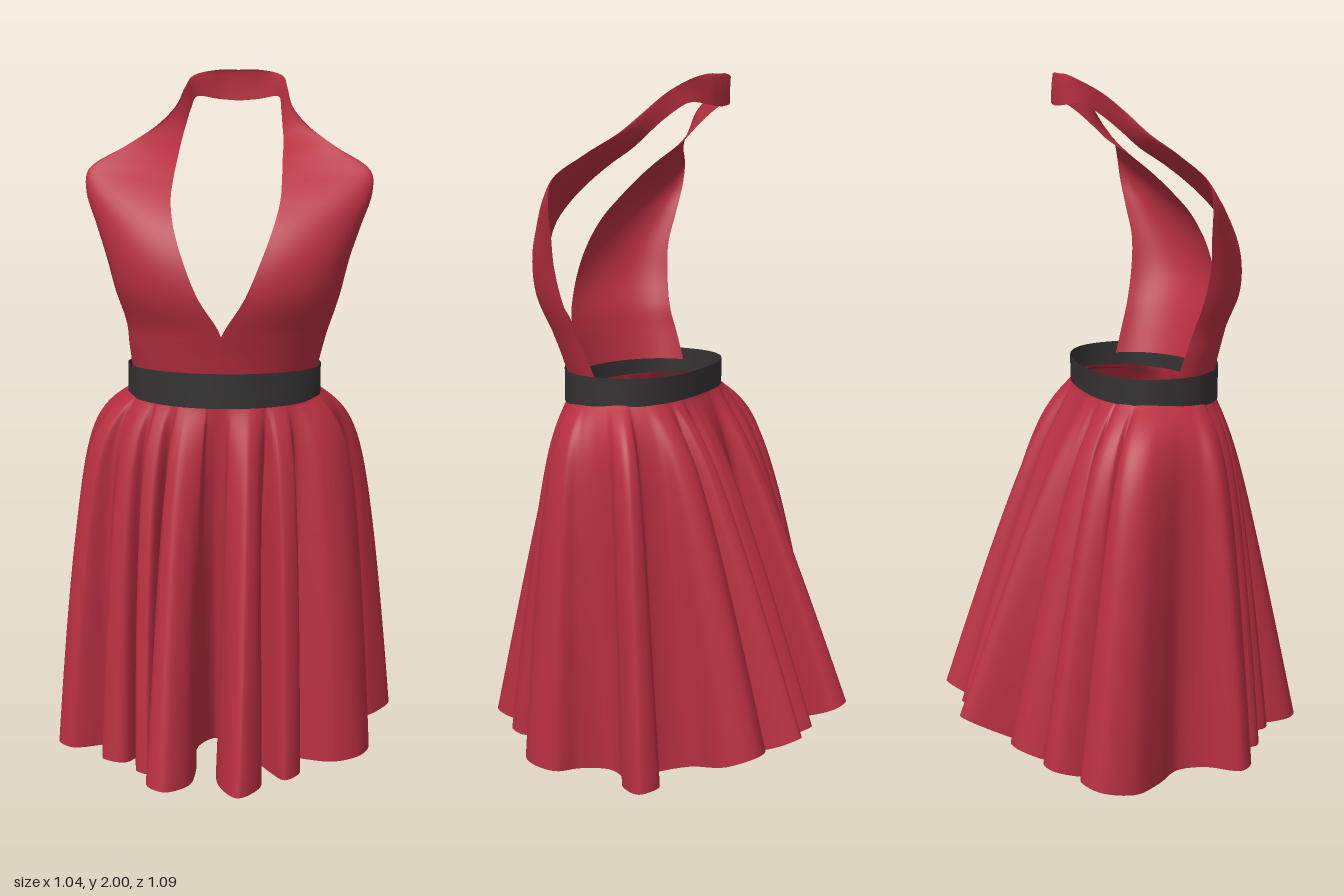
import * as THREE from 'three';

const red = new THREE.MeshStandardMaterial({ color: 0xb82f40, side: THREE.DoubleSide });
red.name = 'crimson cloth';
const black = new THREE.MeshStandardMaterial({ color: 0x343131, side: THREE.DoubleSide });
black.name = 'charcoal band';
const { lerp } = THREE.MathUtils;

// Smooth sheet from fn(u, v) -> [x, y, z]; closed joins u = 1 to u = 0
function sheet(nu, nv, fn, closed) {
  const pos = [], idx = [], cols = closed ? nu : nu + 1, w = nv + 1;
  for (let i = 0; i < cols; i++)
    for (let j = 0; j <= nv; j++) pos.push(...fn(i / nu, j / nv));
  for (let i = 0; i < nu; i++)
    for (let j = 0; j < nv; j++) {
      const a = i * w + j, b = ((i + 1) % cols) * w + j;
      idx.push(a, a + 1, b, b, a + 1, b + 1);
    }
  const g = new THREE.BufferGeometry();
  g.setAttribute('position', new THREE.Float32BufferAttribute(pos, 3));
  g.setIndex(idx);
  g.computeVertexNormals();
  return g;
}

function part(name, geometry, material) {
  const m = new THREE.Mesh(geometry, material);
  m.name = name;
  return m;
}

// Waist outline as x, z: an ellipse, squarer at the back
function waist(angle, grow) {
  const s = Math.sin(angle), c = Math.cos(angle), p = c < 0 ? 0.8 : 1;
  return [
    0.022 + (0.272 + grow) * Math.sign(s) * Math.abs(s) ** p,
    0.065 + (0.197 + grow) * Math.sign(c) * Math.abs(c) ** p,
  ];
}
// Lower edge of the waistband, dipping at the front
const bandBottom = (z) => 1.08 - 0.06 * z;

// Hem outline as x, z pairs: from the front centre round by +x and the back
const HEM = [
  0, 0.07, 0.045, 0.15, 0.03, 0.37, 0.06, 0.48, 0.11, 0.54, 0.165, 0.46, 0.14, 0.32, 0.09, 0.18,
  0.19, 0.36, 0.23, 0.41, 0.27, 0.35, 0.21, 0.23, 0.36, 0.27, 0.44, 0.22, 0.46, 0.12, 0.40, 0.07,
  0.36, 0.0, 0.39, -0.06, 0.47, -0.11, 0.52, -0.19, 0.46, -0.22, 0.35, -0.14, 0.28, -0.22,
  0.32, -0.36, 0.28, -0.44, 0.21, -0.43, 0.21, -0.30, 0.21, -0.48, 0.18, -0.53, 0.13, -0.48,
  0.11, -0.32, 0.09, -0.47, 0.05, -0.51, 0.01, -0.45, -0.04, -0.32, -0.09, -0.34, -0.07, -0.53,
  -0.12, -0.55, -0.17, -0.40, -0.19, -0.29, -0.20, -0.42, -0.26, -0.42, -0.31, -0.33,
  -0.27, -0.25, -0.33, -0.36, -0.39, -0.35, -0.40, -0.25, -0.36, -0.17, -0.43, -0.28,
  -0.51, -0.25, -0.52, -0.15, -0.45, -0.05, -0.38, 0.03, -0.39, 0.11, -0.46, 0.20, -0.41, 0.25,
  -0.30, 0.20, -0.31, 0.31, -0.24, 0.33, -0.19, 0.22, -0.20, 0.38, -0.16, 0.40, -0.12, 0.17,
  -0.16, 0.42, -0.15, 0.49, -0.10, 0.52, -0.04, 0.46, -0.03, 0.36, -0.045, 0.15,
];

// Skirt: puffs out below the waistband, then falls in folds that deepen to the hem
function skirtGeometry() {
  const pts = [], angles = [], full = Math.PI * 2;
  for (let i = 0; i < HEM.length; i += 2) {
    const x = HEM[i], z = HEM[i + 1];
    const lift = 0.5 * Math.min(0, z) ** 2 + 0.05 * Math.abs(x) + 0.03 * Math.max(0, z);
    pts.push(new THREE.Vector3(x, lift, z));
    angles.push((Math.atan2(x, z) + full) % full);
  }
  // Spread the folds in order around the waist
  angles.sort((a, b) => a - b);
  const n = pts.length;
  const spread = angles.map((a, i) => 0.7 * a + 0.3 * full * i / n);
  spread.push(full);
  const hem = new THREE.CatmullRomCurve3(pts, true);
  return sheet(n * 6, 32, (u, v) => {
    const k = Math.min(n - 1, Math.floor(u * n + 1e-6));
    const a = lerp(spread[k], spread[k + 1], u * n - k);
    const [tx, tz] = waist(a, 0);
    const low = hem.getPoint(u);
    const t = v * v * 0.7 + v * 0.3;
    // Sides flare sooner than front and back
    const f = Math.pow(t, 0.7 - 0.48 * Math.sin(a) ** 2) * (1 - Math.exp(-t / 0.05));
    const fold = 0.4 + 0.6 * Math.pow(t, 0.7);
    return [
      lerp(tx, lerp(0.47 * Math.sin(a), low.x, fold), f),
      lerp(bandBottom(tz) + 0.015, low.y, t),
      lerp(tz, lerp(0.4 * Math.cos(a), low.z, fold), f),
    ];
  }, true);
}

// Bodice half: rows of outer edge x, y, z then inner edge x, y, z, up to the nape
const ROWS = [
  [0.265, 1.13, 0.06, 0, 1.13, 0.258],
  [0.28, 1.22, 0.09, 0, 1.22, 0.28],
  [0.29, 1.28, 0.11, 0, 1.27, 0.295],
  [0.32, 1.38, 0.135, 0.065, 1.38, 0.318],
  [0.345, 1.48, 0.145, 0.107, 1.48, 0.305],
  [0.375, 1.57, 0.135, 0.138, 1.57, 0.265],
  [0.405, 1.66, 0.125, 0.153, 1.64, 0.205],
  [0.40, 1.72, 0.115, 0.153, 1.70, 0.14],
  [0.30, 1.785, 0.07, 0.15, 1.75, 0.075],
  [0.22, 1.84, 0.01, 0.147, 1.80, 0.0],
  [0.17, 1.895, -0.04, 0.14, 1.845, -0.05],
  [0.15, 1.95, -0.105, 0.132, 1.89, -0.105],
  [0.13, 1.985, -0.165, 0.12, 1.923, -0.16],
  [0.06, 2.0, -0.185, 0.06, 1.915, -0.195],
  [0, 2.0, -0.19, 0, 1.91, -0.20],
];

function bodiceGeometry(side) {
  const edge = (o) => new THREE.CatmullRomCurve3(
    ROWS.map((r) => new THREE.Vector3(r[o], r[o + 1], r[o + 2])));
  const outer = edge(0), inner = edge(3);
  return sheet((ROWS.length - 1) * 5, 14, (u, v) => {
    const s = (side > 0 ? v : 1 - v) * Math.PI / 2;
    const a = outer.getPoint(u), b = inner.getPoint(u);
    const ax = Math.max(0, a.x), bx = Math.max(0, b.x);
    const c = Math.cos(s), d = Math.sin(s);
    const lean = lerp(0.022, 0.039, Math.min(1, u * 6)); // slight shift to +x
    return [
      lean + side * (bx + (ax - bx) * d),
      b.y + (a.y - b.y) * d,
      a.z + (b.z - a.z) * c,
    ];
  }, false);
}

export function createModel() {
  const dress = new THREE.Group();
  dress.name = 'halterDress';

  dress.add(part('skirt', skirtGeometry(), red));

  const bodice = new THREE.Group();
  bodice.name = 'bodice';
  bodice.add(part('leftBodice', bodiceGeometry(1), red));
  bodice.add(part('rightBodice', bodiceGeometry(-1), red));
  dress.add(bodice);

  // Waistband, a little narrower at the back
  dress.add(part('waistband', sheet(72, 2, (u, v) => {
    const [x, z] = waist(u * Math.PI * 2, 0.009);
    return [x, lerp(1.163, bandBottom(z), v), z];
  }, true), black));

  return dress;
}
